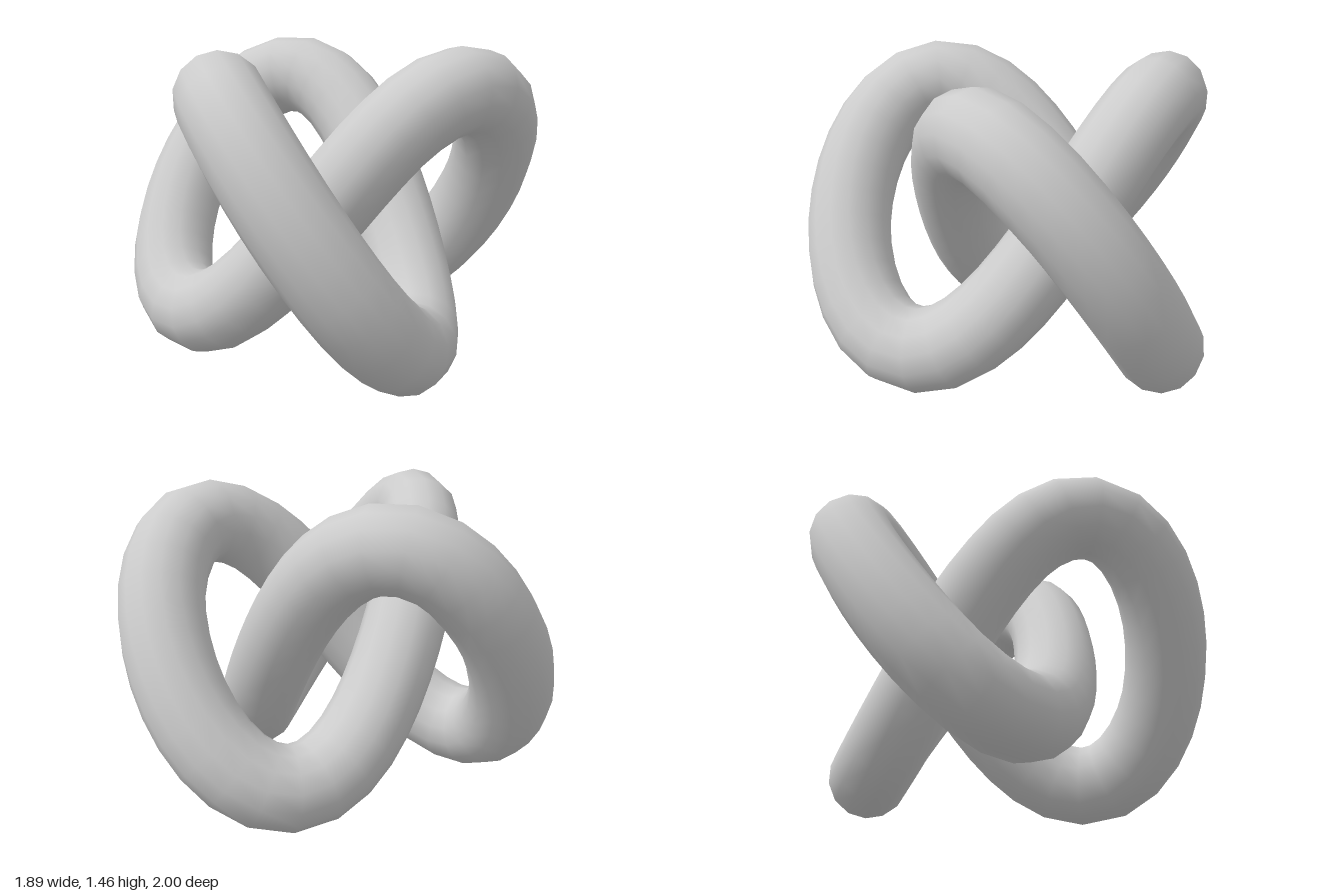
import * as THREE from 'three';

// Closed three-lobed knot path winding twice round the vertical axis
class KnotCurve extends THREE.Curve {
  getPoint(u, target = new THREE.Vector3()) {
    const t = u * Math.PI * 2;
    const b = 0.598, a = 0.242, c = 0.03;
    return target.set(
      0.128 - (b * Math.cos(2 * t) + a * Math.cos(t) + c * Math.cos(5 * t)),
      0.732 + 0.536 * Math.sin(3 * t),
      -(b * Math.sin(2 * t) - a * Math.sin(t) + c * Math.sin(5 * t))
    );
  }
}

export function createModel() {
  const group = new THREE.Group();
  group.name = 'trefoilKnot';
  const material = new THREE.MeshStandardMaterial({ color: 0xcccccc });

  // Round tube swept along the knot
  const curve = new KnotCurve();
  curve.arcLengthDivisions = 600;
  const tube = new THREE.Mesh(new THREE.TubeGeometry(curve, 80, 0.197, 14, true), material);
  tube.name = 'knotTube';
  group.add(tube);
  return group;
}
